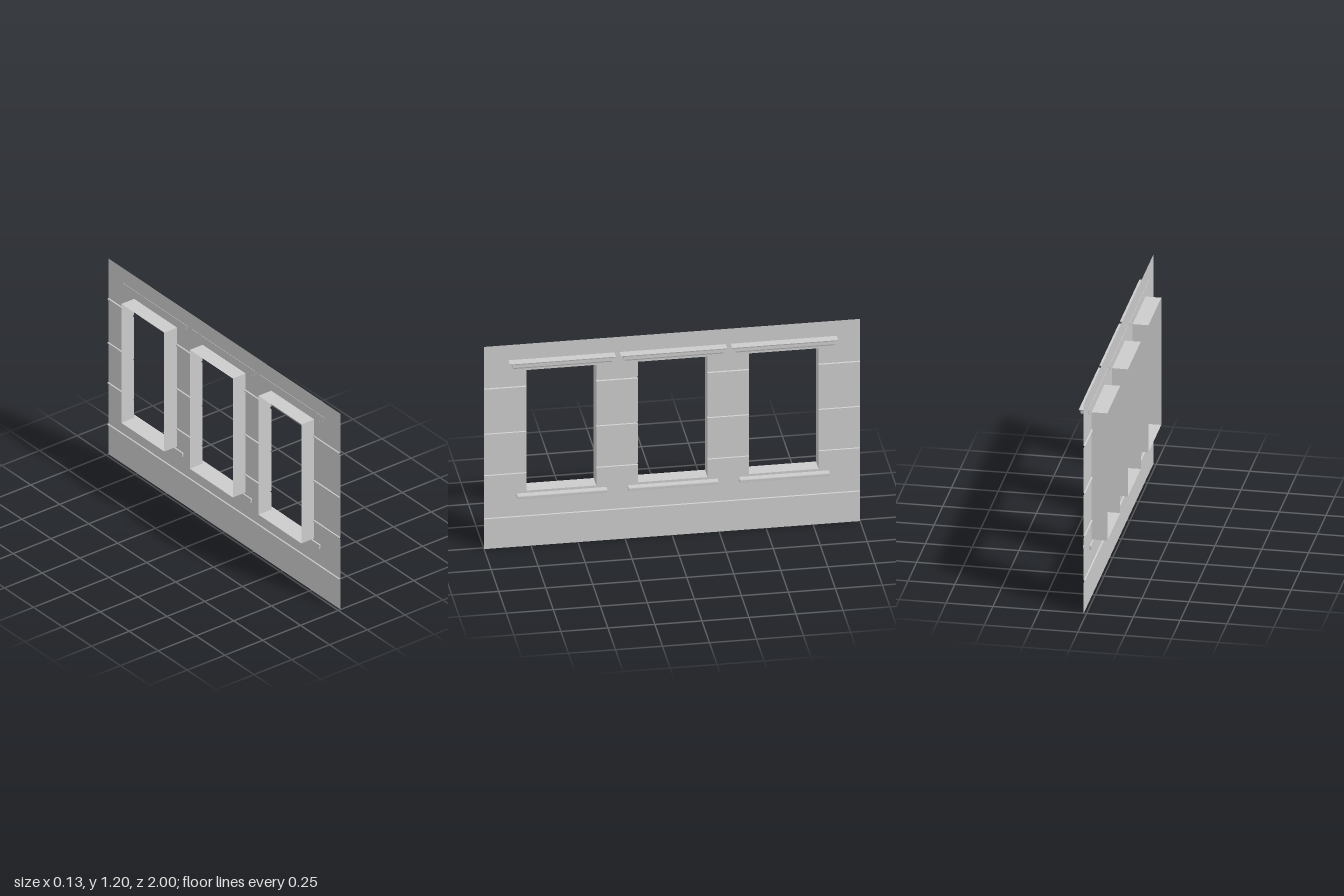
import * as THREE from 'three';

const FACE = 0.015, GROOVE = 0.008, BACK = -0.07; // wall face, groove floor, rear edge of reveals
const HEIGHT = 1.198, SILL_Y = 0.328, HEAD_Y = 1.056, HALF = 0.185;
const CENTRES = [-0.594, -0.003, 0.588];
const material = new THREE.MeshStandardMaterial({ color: 0xcccccc, side: THREE.DoubleSide, flatShading: true });

// Mesh from a list of quads, each with four corners counter-clockwise
function quadMesh(name, quads) {
  const positions = [];
  for (const [a, b, c, d] of quads) positions.push(...a, ...b, ...c, ...a, ...c, ...d);
  const geometry = new THREE.BufferGeometry();
  geometry.setAttribute('position', new THREE.Float32BufferAttribute(positions, 3));
  geometry.computeVertexNormals();
  const mesh = new THREE.Mesh(geometry, material);
  mesh.name = name;
  return mesh;
}

// Wall section as [x, y] points from bottom to top, with a notch at each groove
function wallProfile() {
  const points = [[FACE, 0]];
  const groove = (y, h) => points.push([FACE, y - h], [GROOVE, y - h * 0.6], [GROOVE, y + h * 0.6], [FACE, y + h]);
  groove(0.182, 0.006);
  points.push([FACE, SILL_Y]);
  groove(0.437, 0.005);
  groove(0.682, 0.005);
  groove(0.951, 0.007);
  points.push([FACE, HEAD_Y], [FACE, HEIGHT]);
  return points;
}

// Wall sheet, split into piers between the openings
function makeWall(profile) {
  const piers = [];
  let start = -1;
  for (const c of CENTRES) {
    piers.push([start, c - HALF]);
    start = c + HALF;
  }
  piers.push([start, 1]);
  const quads = [];
  for (let i = 0; i < profile.length - 1; i++) {
    const [x0, y0] = profile[i], [x1, y1] = profile[i + 1];
    const spans = y0 >= SILL_Y && y1 <= HEAD_Y ? piers : [[-1, 1]];
    for (const [a, b] of spans) quads.push([[x0, y0, b], [x0, y0, a], [x1, y1, a], [x1, y1, b]]);
  }
  return quadMesh('wall', quads);
}

// Four inner faces of an opening; the jambs follow the grooved wall edge
function makeReveal(profile) {
  const quads = [
    [[BACK, SILL_Y, HALF], [FACE, SILL_Y, HALF], [FACE, SILL_Y, -HALF], [BACK, SILL_Y, -HALF]],
    [[BACK, HEAD_Y, -HALF], [FACE, HEAD_Y, -HALF], [FACE, HEAD_Y, HALF], [BACK, HEAD_Y, HALF]],
  ];
  const edge = profile.filter(([, y]) => y >= SILL_Y && y <= HEAD_Y);
  for (let i = 0; i < edge.length - 1; i++) {
    const [x0, y0] = edge[i], [x1, y1] = edge[i + 1];
    const jamb = (z) => [[x0, y0, z], [BACK, y0, z], [BACK, y1, z], [x1, y1, z]];
    quads.push(jamb(HALF), jamb(-HALF).reverse());
  }
  return quadMesh('windowReveal', quads);
}

// Solid lofted through rectangular levels: [back y, front y, front x, half width]
function makeMoulding(name, backX, levels) {
  const rings = levels.map(([yb, yf, x, w]) => [[backX, yb, w], [x, yf, w], [x, yf, -w], [backX, yb, -w]]);
  const quads = [[...rings[0]].reverse(), rings[rings.length - 1]];
  for (let i = 0; i < rings.length - 1; i++) {
    for (let k = 0; k < 4; k++) {
      const n = (k + 1) % 4;
      quads.push([rings[i][k], rings[i][n], rings[i + 1][n], rings[i + 1][k]]);
    }
  }
  return quadMesh(name, quads);
}

export function createModel() {
  const model = new THREE.Group();
  model.name = 'windowWall';
  const profile = wallProfile();
  model.add(makeWall(profile));

  for (const z of CENTRES) {
    const bay = new THREE.Group();
    bay.name = 'windowBay';
    bay.position.z = z;
    bay.add(makeReveal(profile));

    // Sill with sloping underside
    bay.add(makeMoulding('sill', 0.007, [
      [0.289, 0.297, 0.049, 0.237],
      [0.311, 0.311, 0.05, 0.24],
      [0.315, 0.315, 0.049, 0.239],
    ]));

    // Stepped cornice over the opening, widening upwards
    const steps = [
      [1.059, 0.047, 0.233], [1.07, 0.047, 0.235],
      [1.07, 0.05, 0.247], [1.075, 0.05, 0.249],
      [1.075, 0.055, 0.26], [1.082, 0.058, 0.265], [1.102, 0.058, 0.267],
      [1.102, 0.063, 0.277], [1.108, 0.065, 0.282],
    ];
    bay.add(makeMoulding('cornice', 0.013, steps.map(([y, x, w]) => [y, y, x, w])));
    model.add(bay);
  }
  return model;
}
